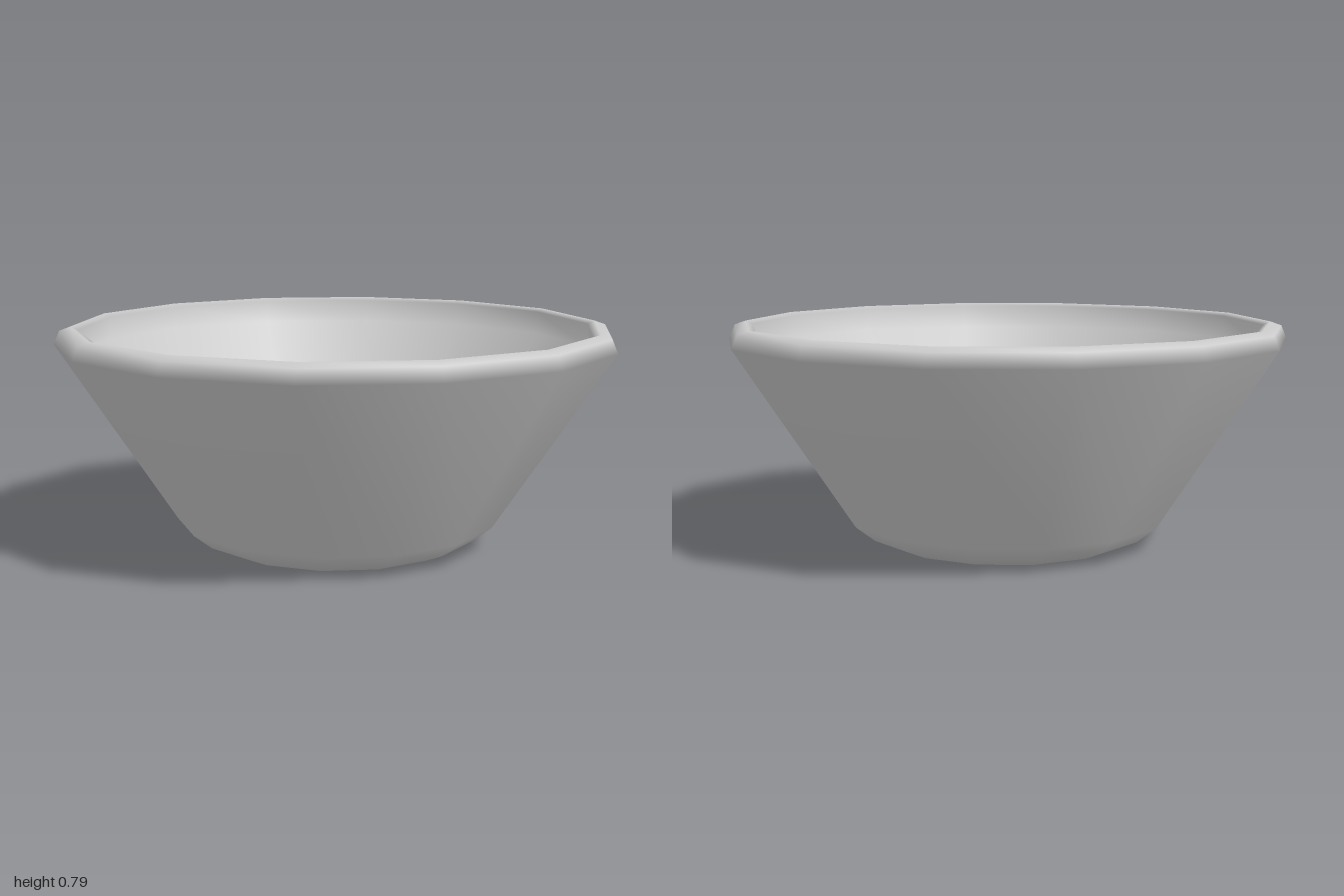
import * as THREE from 'three';

export function createModel() {
  const group = new THREE.Group();
  group.name = 'bowl';
  const material = new THREE.MeshStandardMaterial({ color: 0xcccccc });

  // Closed profile: underside, outer wall, rounded rim, overhanging lip, inner wall, inside floor
  const profile = [
    [0, 0], [0.44, 0], [0.51, 0.03], [0.58, 0.085],
    [1, 0.725], [0.98, 0.773], [0.94, 0.787], [0.915, 0.775],
    [0.92, 0.69], [0.51, 0.1], [0.45, 0.06], [0.38, 0.045], [0, 0.045],
  ].map(([r, y]) => new THREE.Vector2(r, y));

  // Fourteen sides, with corners on the x axis
  const bowl = new THREE.Mesh(new THREE.LatheGeometry(profile, 14, Math.PI / 2), material);
  bowl.name = 'bowlShell';
  group.add(bowl);
  return group;
}
